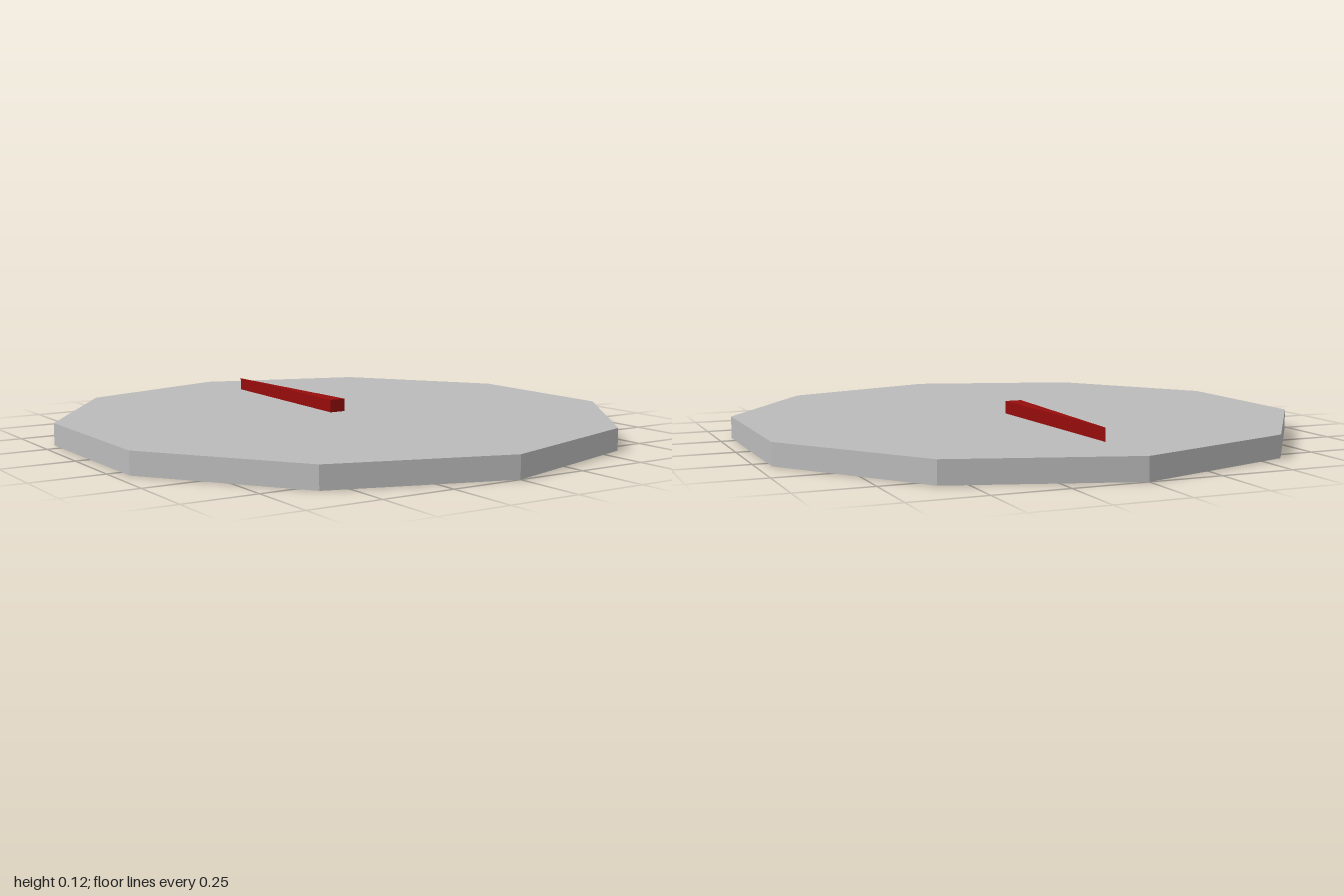
import * as THREE from 'three';

export function createModel() {
  const group = new THREE.Group();
  const grey = new THREE.MeshStandardMaterial({ color: 0xbababa });
  grey.name = 'grey';
  grey.flatShading = true;
  const red = new THREE.MeshStandardMaterial({ color: 0x960c0c });
  red.name = 'darkRed';
  red.flatShading = true;

  const discHeight = 0.077, handHeight = 0.045;

  // Ten-sided disc with corners at front and back
  const disc = new THREE.Mesh(new THREE.CylinderGeometry(1, 1, discHeight, 10), grey);
  disc.name = 'disc';
  disc.position.y = discHeight / 2;
  group.add(disc);

  // Pointer: a long triangular wedge from the centre towards the back
  const outline = new THREE.Shape([
    new THREE.Vector2(-0.03, 0),
    new THREE.Vector2(0.03, 0),
    new THREE.Vector2(0, 0.72),
  ]);
  const wedge = new THREE.ExtrudeGeometry(outline, { depth: handHeight, bevelEnabled: false });
  wedge.rotateX(-Math.PI / 2);
  const pointer = new THREE.Mesh(wedge, red);
  pointer.name = 'pointer';
  pointer.position.y = discHeight;
  group.add(pointer);

  return group;
}
